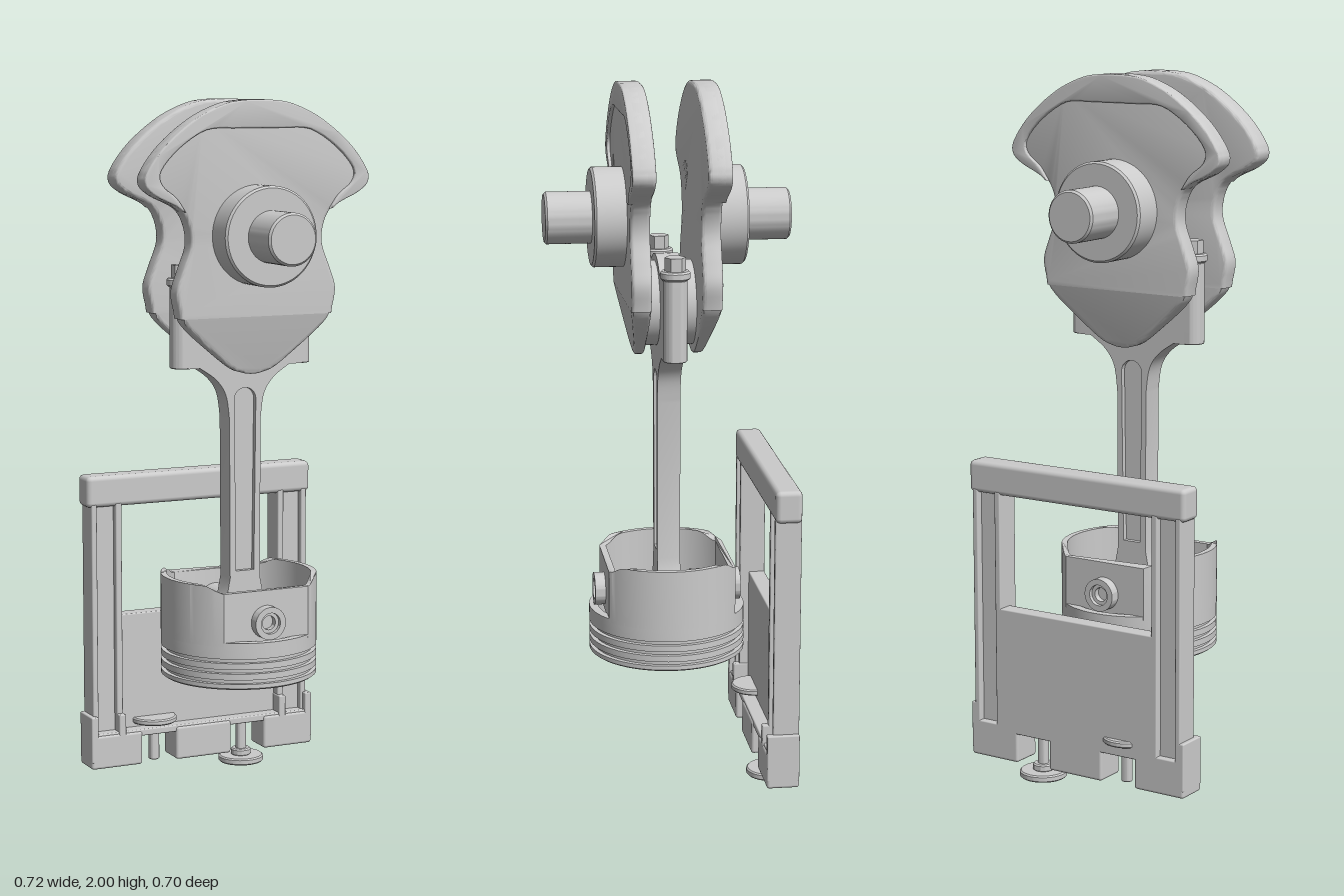
import * as THREE from 'three';
import { toCreasedNormals } from 'three/addons/utils/BufferGeometryUtils.js';
import { RoundedBoxGeometry } from 'three/addons/geometries/RoundedBoxGeometry.js';

const material = new THREE.MeshStandardMaterial({ color: 0xcccccc });
const V = (x, y) => new THREE.Vector2(x, y);
const spline = (pts, n) => new THREE.SplineCurve(pts.map(p => V(...p))).getPoints(n);
const mirrored = half => [...half, ...half.slice().reverse().map(p => V(-p.x, p.y))];

function add(parent, name, geometry, x = 0, y = 0, z = 0) {
  const mesh = new THREE.Mesh(geometry, material);
  mesh.name = name;
  mesh.position.set(x, y, z);
  parent.add(mesh);
  return mesh;
}

// Box given by its limits
function box(parent, name, x0, x1, y0, y1, z0, z1, r = 0.004) {
  return add(parent, name, new RoundedBoxGeometry(x1 - x0, y1 - y0, z1 - z0, 2, r),
    (x0 + x1) / 2, (y0 + y1) / 2, (z0 + z1) / 2);
}

// Turned part: points are [radius, height]
const turned = pts => toCreasedNormals(
  new THREE.LatheGeometry(pts.map(p => V(...p)), 64).toNonIndexed(), 0.6);

// Solid rod with softened rims, from a to b along the axis
const rod = (r, a, b, c = 0.006) => turned([[0, a], [r - c, a], [r, a + c], [r, b - c], [r - c, b], [0, b]]);

function extrude(shape, depth, bevel = 0) {
  return new THREE.ExtrudeGeometry(shape, {
    depth: depth - 2 * bevel, bevelEnabled: bevel > 0, bevelThickness: bevel,
    bevelSize: bevel, bevelOffset: -bevel, bevelSegments: 3, curveSegments: 32,
  }).translate(0, 0, bevel);
}

function editVertices(geometry, rule) {
  const p = geometry.attributes.position, v = new THREE.Vector3();
  for (let i = 0; i < p.count; i++) {
    rule(v.fromBufferAttribute(p, i));
    p.setXYZ(i, v.x, v.y, v.z);
  }
  return toCreasedNormals(geometry, 0.6);
}

function crankHalf() {
  const g = new THREE.Group();
  const split = 1.4, inner = 0.07, bevel = 0.01;
  const upper = spline([[0.232, split], [0.246, 1.47], [0.228, 1.53], [0.203, 1.6], [0.21, 1.66], [0.24, 1.705],
    [0.31, 1.74], [0.342, 1.77], [0.335, 1.81], [0.28, 1.88], [0.19, 1.95], [0.1, 1.99], [0.03, 2.0]], 60);
  const lower = spline([[0.232, split], [0.2, 1.362], [0.14, 1.31], [0.07, 1.255], [0.03, 1.239], [0.006, 1.235]], 24);

  // Web, the lower lobe tapering on its outer face
  const top = extrude(new THREE.Shape(mirrored(upper)), 0.056, bevel);
  add(g, 'crankWeb', editVertices(top, v => {
    if (v.y < split + bevel + 0.001) v.y = split;
  }), 0, 0, inner);
  const bottom = extrude(new THREE.Shape(mirrored(lower)), 0.056, bevel);
  add(g, 'crankWebToe', editVertices(bottom, v => {
    if (v.y > split - bevel - 0.001) v.y = split;
    v.z *= 1 - 0.55 * (split - v.y) / 0.165;
  }), 0, 0, inner);

  // Raised counterweight rim
  const rimOuter = upper.filter(p => p.y > 1.69);
  const rimInner = spline([[0.08, 1.922], [0.16, 1.918], [0.24, 1.87], [0.295, 1.81], [0.292, 1.77],
    [0.25, 1.735], [0.222, 1.695]], 24);
  const rimHalf = mirrored(rimOuter);
  const rim = new THREE.Shape([...rimHalf, ...mirrored(rimInner).reverse().map(p => V(p.x, p.y))]);
  // inner edge runs back from the left end of the rim to the right
  rim.curves.length = 0;
  rim.setFromPoints([...rimHalf, ...rimInner.slice().reverse().map(p => V(-p.x, p.y)), ...rimInner]);
  add(g, 'counterweightRim', toCreasedNormals(extrude(rim, 0.045, 0.004), 0.6), 0, 0, 0.09);

  // Main journal and its collar
  for (const [name, geo] of [['journalCollar', rod(0.14, 0.1, 0.215)], ['mainJournal', rod(0.073, 0.08, 0.345)]])
    add(g, name, geo, 0, 1.627, 0).rotation.x = Math.PI / 2;
  return g;
}

function connectingRod() {
  const g = new THREE.Group();
  g.name = 'connectingRod';
  const cy = 1.38, py = 0.54, t = 0.066;
  const half = [];
  // small end, shank, shoulder and bearing cap
  for (let i = 0; i <= 12; i++) {
    const a = -Math.PI / 2 + i * 0.19;
    half.push(V(0.075 * Math.cos(a), py + 0.075 * Math.sin(a)));
  }
  half.push(V(0.047, 0.64), ...spline([[0.049, 1.1], [0.06, 1.17], [0.09, 1.215], [0.14, 1.25]], 14),
    V(0.18, 1.25), V(0.18, 1.475), V(0.11, 1.475));
  for (let i = 1; i <= 8; i++) {
    const a = 0.75 + i * 0.1;
    half.push(V(0.14 * Math.cos(a), cy + 0.14 * Math.sin(a)));
  }
  const shape = new THREE.Shape(mirrored(half));
  const hole = (x, y, r) => new THREE.Path().absarc(x, y, r, 0, Math.PI * 2, true);
  const slot = new THREE.Path();
  slot.moveTo(-0.028, 0.66);
  slot.lineTo(-0.034, 1.155);
  slot.absarc(0, 1.155, 0.034, Math.PI, 0, true);
  slot.lineTo(0.028, 0.66);
  slot.closePath();
  shape.holes.push(hole(0, cy, 0.119), hole(0, py, 0.029), slot);
  add(g, 'rodBody', toCreasedNormals(extrude(shape, t), 0.5), 0, 0, -t / 2);
  box(g, 'rodWeb', -0.036, 0.036, 0.65, 1.2, -0.018, 0.018);

  // Bolt bosses with flanged hexagon bolts
  for (const x of [-0.182, 0.182]) {
    add(g, 'boltBoss', rod(0.034, 1.25, 1.48, 0.002), x);
    add(g, 'boltFlange', rod(0.042, 1.48, 1.505, 0.005), x);
    add(g, 'boltHead', new THREE.CylinderGeometry(0.03, 0.03, 0.04, 6).toNonIndexed(), x, 1.522)
      .geometry.computeVertexNormals();
  }
  return g;
}

// Circle with its front and back cut flat
function flattenedCircle(r, flat, Type) {
  const pts = [], a = Math.asin(flat / r);
  for (const start of [-a, Math.PI - a])
    for (let i = 0; i <= 32; i++) pts.push(V(r * Math.cos(start + 2 * a * i / 32), r * Math.sin(start + 2 * a * i / 32)));
  return new Type(pts);
}

function piston() {
  const g = new THREE.Group();
  g.name = 'piston';
  // Crown with ring grooves, hollow from above
  const profile = [[0, 0.355], [0.218, 0.355], [0.225, 0.36]];
  for (const y of [0.378, 0.408, 0.438])
    profile.push([0.225, y - 0.006], [0.212, y - 0.006], [0.212, y + 0.006], [0.225, y + 0.006]);
  profile.push([0.225, 0.49], [0.2, 0.49], [0.2, 0.43], [0, 0.42]);
  add(g, 'pistonCrown', turned(profile));

  // Skirt, lower over the pin bosses
  const skirt = flattenedCircle(0.225, 0.182, THREE.Shape);
  skirt.holes.push(flattenedCircle(0.208, 0.163, THREE.Path));
  const geo = extrude(skirt, 0.17).rotateX(-Math.PI / 2).translate(0, 0.48, 0);
  add(g, 'pistonSkirt', editVertices(geo, v => {
    if (v.y > 0.6) v.y = 0.63 + 0.021 * THREE.MathUtils.smoothstep(Math.abs(v.x), 0.135, 0.175);
  }));

  // Pin bosses and hollow wrist pin
  const tube = (ro, ri, a, b) => turned([[ri, a], [ro, a], [ro, b], [ri, b], [ri, a]]);
  for (const s of [-1, 1])
    add(g, 'pinBoss', tube(0.047, 0.03, 0.07, 0.212), 0, 0.54, 0).rotation.x = s * Math.PI / 2;
  add(g, 'wristPin', tube(0.031, 0.02, -0.2, 0.2), 0, 0.54, 0).rotation.x = Math.PI / 2;
  return g;
}

function standFrame() {
  const g = new THREE.Group();
  g.name = 'frame';
  const back = -0.328, front = -0.253;
  box(g, 'topRail', -0.362, 0.362, 0.82, 0.912, back, front, 0.014);
  box(g, 'backPanel', -0.265, 0.265, 0.13, 0.49, back, -0.28);
  box(g, 'panelFoot', -0.35, 0.35, 0.125, 0.145, back, -0.24);
  box(g, 'centreFoot', -0.09, 0.09, 0.04, 0.14, back, -0.235, 0.008);
  for (const s of [-1, 1]) {
    const side = (name, a, b, ...rest) => box(g, name, Math.min(s * a, s * b), Math.max(s * a, s * b), ...rest);
    // channelled post
    side('postOuterFlange', 0.333, 0.35, 0.1, 0.83, back, front);
    side('postInnerFlange', 0.255, 0.274, 0.1, 0.83, back, front);
    side('postWeb', 0.265, 0.34, 0.1, 0.83, -0.308, -0.273);
    // corner foot
    side('cornerFoot', 0.2, 0.362, 0.04, 0.14, back, -0.235, 0.008);
    side('footCheek', 0.34, 0.362, 0.06, 0.198, back, -0.235);
    side('footRib', 0.252, 0.274, 0.08, 0.198, back, -0.235);
  }
  // Two levelling screws set at different heights
  add(g, 'raisedScrewDisc', rod(0.068, 0.156, 0.174, 0.004), -0.145, 0, -0.28);
  add(g, 'raisedScrewStem', rod(0.016, 0.04, 0.16, 0.002), -0.145, 0, -0.28);
  add(g, 'loweredScrewDisc', rod(0.068, 0, 0.02, 0.004), 0.143, 0, -0.28);
  add(g, 'loweredScrewCollar', rod(0.03, 0.018, 0.04, 0.004), 0.143, 0, -0.28);
  add(g, 'loweredScrewStem', rod(0.016, 0.018, 0.14, 0.002), 0.143, 0, -0.28);
  return g;
}

export function createModel() {
  const model = new THREE.Group();
  model.name = 'crankAndPiston';
  const engine = new THREE.Group();
  engine.name = 'engine';
  engine.position.z = 0.005;
  model.add(engine);

  const frontHalf = crankHalf(), backHalf = crankHalf();
  frontHalf.name = 'frontCrankHalf';
  backHalf.name = 'backCrankHalf';
  backHalf.rotation.y = Math.PI;
  engine.add(frontHalf, backHalf);
  add(engine, 'crankPin', rod(0.12, -0.075, 0.075, 0.001), 0, 1.38, 0).rotation.x = Math.PI / 2;

  const rodGroup = connectingRod();
  rodGroup.position.x = 0.005;
  engine.add(rodGroup, piston());
  model.add(standFrame());
  return model;
}
